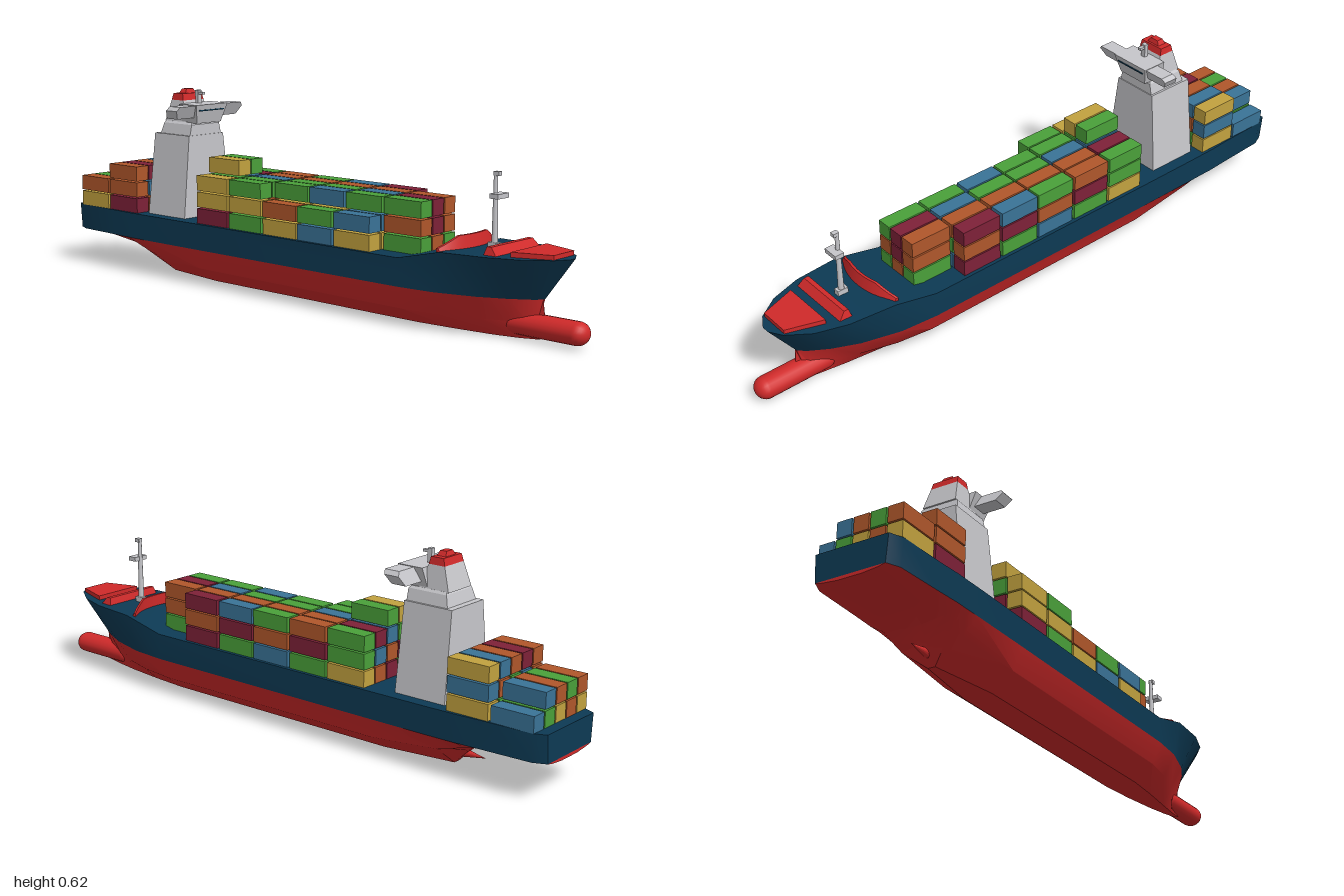
import * as THREE from 'three';
import { toCreasedNormals } from 'three/addons/utils/BufferGeometryUtils.js';

const paint = (name, color) => Object.assign(new THREE.MeshStandardMaterial({ color }), { name });
const hullBlue = paint('hull blue', 0x0d3a54);
const red = paint('hull red', 0xd02a2a);
const grey = paint('superstructure grey', 0xc6c6ca);
const boxPaint = {
  O: paint('container orange', 0xb0572b),
  M: paint('container maroon', 0x7e2138),
  G: paint('container green', 0x4aa03a),
  B: paint('container blue', 0x3a7397),
  Y: paint('container yellow', 0xc2a23f),
};

// Skin through open cross-section rings, with closed ends
function loft(rings, crease) {
  const n = rings[0].length, idx = [], last = (rings.length - 1) * n;
  for (let i = 0; i < rings.length - 1; i++)
    for (let j = 0; j < n - 1; j++) {
      const a = i * n + j, b = a + n;
      idx.push(a, a + 1, b + 1, a, b + 1, b);
    }
  for (let j = 1; j < n - 1; j++) {
    idx.push(0, j + 1, j);
    idx.push(last, last + j, last + j + 1);
  }
  const g = new THREE.BufferGeometry();
  g.setAttribute('position', new THREE.Float32BufferAttribute(rings.flat(2), 3));
  g.setIndex(idx);
  return toCreasedNormals(g, crease);
}

// Hull stations: x, deck y, deck half-width, waterline half-width, bilge y, bilge half-width, keel y, keel half-width
const stations = [
  [-1, 0.205, 0.118, 0.112, 0.115, 0.09, 0.11, 0.04],
  [-0.96, 0.205, 0.135, 0.13, 0.112, 0.1, 0.106, 0.05],
  [-0.8, 0.205, 0.14, 0.138, 0.109, 0.1, 0.104, 0.05],
  [-0.72, 0.205, 0.145, 0.143, 0.095, 0.1, 0.085, 0.025],
  [-0.68, 0.205, 0.145, 0.143, 0.08, 0.1, 0.05, 0.014],
  [-0.63, 0.205, 0.146, 0.144, 0.068, 0.102, 0, 0.012],
  [-0.4, 0.205, 0.147, 0.145, 0.052, 0.116, 0, 0.045],
  [0.45, 0.205, 0.147, 0.145, 0.05, 0.116, 0, 0.05],
  [0.6, 0.24, 0.147, 0.134, 0.05, 0.1, 0, 0.04],
  [0.75, 0.243, 0.134, 0.1, 0.05, 0.065, 0, 0.025],
  [0.85, 0.244, 0.103, 0.062, 0.05, 0.034, 0.002, 0.014],
  [0.92, 0.245, 0.054, 0.025, 0.05, 0.014, 0.006, 0.007],
  [0.945, 0.245, 0.012, 0.004, 0.05, 0.004, 0.012, 0.003],
];
const WATER = 0.12;

// Block with independent bottom and top rectangles: [xMin, xMax, half-width, y]
function block(bottom, top) {
  const g = new THREE.BoxGeometry(1, 1, 1), p = g.attributes.position;
  for (let i = 0; i < p.count; i++) {
    const [a, b, w, y] = p.getY(i) > 0 ? top : bottom;
    p.setXYZ(i, p.getX(i) > 0 ? b : a, y, Math.sign(p.getZ(i)) * w);
  }
  const flat = g.toNonIndexed();
  flat.computeVertexNormals();
  return flat;
}

// Container stacks: bay x, then five rows from right (-z) to left, colours bottom up
const bays = [
  [-0.897, ['B', 'GB', 'YO', 'OG', 'YO']],
  [-0.75, ['YBY', 'GOB', 'YGO', 'OBM', 'MOO']],
  [-0.32, ['YGG', 'OBM', 'MOBG', 'GMGY', 'MYY']],
  [-0.173, ['GMO', 'BGO', 'OYB', 'YOG', 'GYG']],
  [-0.025, ['BOG', 'GMO', 'MBG', 'OYG', 'YO']],
  [0.12, ['GMB', 'YOO', 'BOG', 'GYB', 'BG']],
  [0.268, ['MOM', 'BGO', 'OMB', 'YBG', 'YB']],
  [0.415, ['', 'GOO', 'OMM', 'GOG', '']],
];

export function createModel() {
  const ship = new THREE.Group();
  ship.name = 'containerShip';
  const add = (name, geo, mat, parent = ship) => {
    const m = new THREE.Mesh(geo, mat);
    m.name = name;
    parent.add(m);
    return m;
  };
  const box = (name, mat, x, y, z, sx, sy, sz, parent) => {
    const m = add(name, new THREE.BoxGeometry(sx, sy, sz), mat, parent);
    m.position.set(x, y, z);
    return m;
  };

  // Hull: the stem rakes back below the deck
  const topsides = [], bottom = [];
  for (const [x, yd, wd, ww, yb, wb, yk, wk] of stations) {
    const t = Math.max(0, (x - 0.45) / 0.495);
    const xw = x - 0.09 * t, xb = x - 0.11 * t, xk = x - 0.08 * t;
    topsides.push([[xw, WATER, -ww], [x, yd, -wd], [x, yd, wd], [xw, WATER, ww]]);
    bottom.push([[xw, WATER, ww], [xb, yb, wb], [xk, yk, wk], [xk, yk, -wk], [xb, yb, -wb], [xw, WATER, -ww]]);
  }
  add('topsidesAndDeck', loft(topsides, 0.5), hullBlue);
  add('hullBottom', loft(bottom, 0.5), red);

  // Bulbous bow and propeller boss
  const bulb = add('bulbousBow', new THREE.CapsuleGeometry(0.034, 0.2, 8, 18), red);
  bulb.rotation.z = -Math.PI / 2;
  bulb.scale.z = 1.1;
  bulb.position.set(0.866, 0.042, 0);
  const boss = add('propellerBoss', new THREE.ConeGeometry(0.028, 0.16, 14), red);
  boss.rotation.z = Math.PI / 2;
  boss.position.set(-0.65, 0.034, 0);

  // Containers
  const cargo = new THREE.Group();
  cargo.name = 'containers';
  ship.add(cargo);
  for (const [x, rows] of bays)
    rows.forEach((stack, r) => [...stack].forEach((c, level) =>
      box('container', boxPaint[c], x, 0.2295 + level * 0.0537, (r - 2) * 0.0553, 0.138, 0.049, 0.05, cargo)));

  // Deckhouse, upper house and funnel casing
  add('deckhouse', block([-0.655, -0.48, 0.107, 0.2], [-0.65, -0.485, 0.077, 0.475]), grey);
  add('upperHouse', block([-0.63, -0.488, 0.07, 0.475], [-0.62, -0.488, 0.062, 0.51]), grey);
  add('upperHouseCap', block([-0.62, -0.488, 0.062, 0.51], [-0.615, -0.495, 0.056, 0.517]), grey);
  add('funnelCasing', block([-0.622, -0.52, 0.056, 0.515], [-0.6, -0.545, 0.046, 0.586]), grey);
  add('funnelBand', block([-0.6, -0.545, 0.046, 0.586], [-0.594, -0.55, 0.043, 0.608]), red);
  add('funnelTop', block([-0.587, -0.557, 0.024, 0.608], [-0.583, -0.561, 0.015, 0.622]), red);

  // Bridge with slanted wing tips, leaning forward
  const wing = new THREE.Shape([
    [-0.132, 0.534], [0.132, 0.534], [0.148, 0.562], [0.137, 0.575], [-0.137, 0.575], [-0.148, 0.562],
  ].map(([z, y]) => new THREE.Vector2(z, y)));
  const wingGeo = new THREE.ExtrudeGeometry(wing, { depth: 0.05, bevelEnabled: false });
  wingGeo.rotateY(Math.PI / 2).translate(-0.52, 0, 0);
  const p = wingGeo.attributes.position;
  for (let i = 0; i < p.count; i++) p.setX(i, p.getX(i) + (p.getY(i) - 0.555) * 0.5);
  wingGeo.computeVertexNormals();
  add('bridgeWings', wingGeo, grey);
  add('bridgeCentre', block([-0.55, -0.472, 0.054, 0.515], [-0.54, -0.455, 0.07, 0.577]), grey);
  box('bridgeWindows', hullBlue, -0.459, 0.558, 0, 0.004, 0.004, 0.11);

  // Radar mast
  box('radarMast', grey, -0.52, 0.597, 0, 0.014, 0.046, 0.016);
  box('radarArm', grey, -0.51, 0.61, 0, 0.03, 0.008, 0.012);

  // Foremast
  const mast = new THREE.Group();
  mast.name = 'foremast';
  mast.position.set(0.685, 0, 0);
  ship.add(mast);
  add('mastPole', new THREE.CylinderGeometry(0.006, 0.01, 0.22, 10), grey, mast).position.y = 0.35;
  box('mastCrossarm', grey, 0.012, 0.393, 0, 0.03, 0.014, 0.052, mast);
  box('mastHead', grey, 0.006, 0.455, 0, 0.018, 0.012, 0.016, mast);
  box('mastFoot', grey, 0, 0.25, 0, 0.035, 0.018, 0.02, mast);

  // Curved breakwater, lower towards its ends
  const rings = [];
  for (let i = 0; i <= 12; i++) {
    const s = 1 - i / 6, z = s * 0.13, x = 0.632 - 0.035 * s * s;
    const top = 0.278 - 0.032 * Math.max(0, (Math.abs(s) - 0.5) * 2);
    rings.push([[x, 0.225, z], [x - 0.012, top, z], [x - 0.02, top, z], [x - 0.018, 0.225, z]]);
  }
  const water = add('breakwater', loft(rings, 0.5), red);
  water.material = red.clone();
  water.material.side = THREE.DoubleSide;

  // Foredeck hatch covers
  add('foredeckCoaming', block([0.723, 0.768, 0.108, 0.24], [0.73, 0.745, 0.1, 0.266]), red);
  const hatch = new THREE.Shape([[0.8, -0.088], [0.915, -0.05], [0.915, 0.05], [0.8, 0.088]]
    .map(([x, z]) => new THREE.Vector2(x, z)));
  const hatchGeo = new THREE.ExtrudeGeometry(hatch, { depth: 0.016, bevelEnabled: false });
  hatchGeo.rotateX(-Math.PI / 2).translate(0, 0.242, 0);
  add('bowHatch', hatchGeo, red);

  return ship;
}
